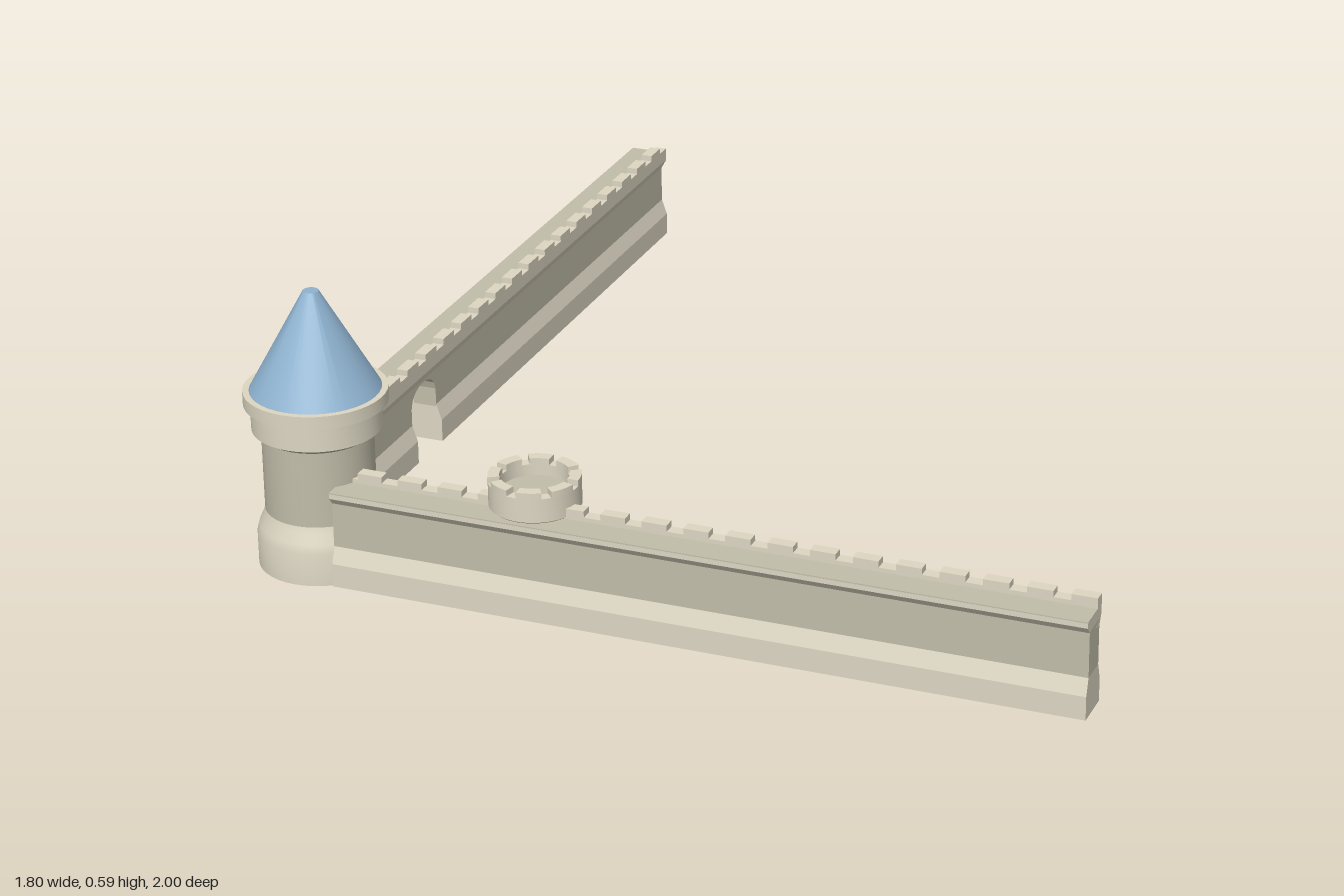
import * as THREE from 'three';
import { toCreasedNormals } from 'three/addons/utils/BufferGeometryUtils.js';

const trim = new THREE.MeshStandardMaterial({ color: 0xdcd6c2 });
const stone = new THREE.MeshStandardMaterial({ color: 0xc2bdaa });
const slate = new THREE.MeshStandardMaterial({ color: 0x8fb3d0 });

const WIDTH = 0.085, INSET = 0.012, SPRING = 0.122;

// Wall cross-sections: x runs from the walkway side to the parapet side
const PLINTH = [[0, 0], [WIDTH, 0], [WIDTH, 0.05], [WIDTH - INSET, 0.085], [INSET, 0.085], [0, 0.05]];
const BODY = [[INSET, 0.08], [WIDTH - INSET, 0.08], [WIDTH - INSET, 0.182], [INSET, 0.182]];
const LINTEL = [[INSET, SPRING], [WIDTH - INSET, SPRING], [WIDTH - INSET, 0.182], [INSET, 0.182]];
const CAP = [[INSET, 0.18], [WIDTH - INSET, 0.166], [WIDTH, 0.188], [WIDTH, 0.217],
  [0.06, 0.217], [0.06, 0.206], [0, 0.206], [0, 0.195]];
const WALK = [[0, 0.205], [0.06, 0.205], [0.06, 0.208], [0, 0.208]];

function add(parent, name, geometry, material) {
  const mesh = new THREE.Mesh(geometry, material);
  mesh.name = name;
  parent.add(mesh);
  return mesh;
}

// Extrudes a cross-section along local z
function prism(points, from, to, steps = 1) {
  const shape = new THREE.Shape(points.map(p => new THREE.Vector2(...p)));
  const g = new THREE.ExtrudeGeometry(shape, { depth: to - from, steps, bevelEnabled: false });
  return g.translate(0, 0, from);
}

function lathe(points, segments = 40) {
  const g = new THREE.LatheGeometry(points.map(p => new THREE.Vector2(...p)), segments);
  return toCreasedNormals(g, 0.5);
}

// Straight wall along z with an optional arched gate [start, end]
function makeWall(name, from, to, gate) {
  const wall = new THREE.Group();
  wall.name = name;
  const stretches = gate ? [[from, gate[0]], [gate[1], to]] : [[from, to]];
  for (const [a, b] of stretches) {
    add(wall, 'wallPlinth', prism(PLINTH, a, b), trim);
    add(wall, 'wallBody', prism(BODY, a, b), stone);
  }
  add(wall, 'wallCap', prism(CAP, from, to), trim);
  add(wall, 'walkway', prism(WALK, from, to), stone);

  // Merlons along the parapet
  const count = Math.round((to - from) / 0.088), pitch = (to - from) / count;
  for (let i = 0; i < count; i++) {
    const m = add(wall, 'merlon', new THREE.BoxGeometry(0.025, 0.016, pitch * 0.6), trim);
    m.position.set(0.0725, 0.222, to - pitch * (i + 0.3));
  }

  if (gate) {
    // Lintel whose underside is bent into the arch
    const mid = (gate[0] + gate[1]) / 2, half = (gate[1] - gate[0]) / 2;
    const g = prism(LINTEL, gate[0], gate[1], 20), p = g.attributes.position;
    for (let i = 0; i < p.count; i++) {
      if (p.getY(i) > SPRING + 0.001) continue;
      const t = (p.getZ(i) - mid) / half;
      p.setY(i, SPRING + 0.039 * Math.sqrt(Math.max(0, 1 - t * t)));
    }
    g.computeVertexNormals();
    add(wall, 'gateArch', g, stone);

    // Splayed feet beside the gate
    const foot = [[-0.027, 0], [0.02, 0], [0.02, 0.1]];
    for (const z of [gate[0] - 0.01, gate[1]]) add(wall, 'gateFoot', prism(foot, z, z + 0.01), trim);
  }
  return wall;
}

// Corner tower with a conical roof
function makeTower() {
  const tower = new THREE.Group();
  tower.name = 'cornerTower';
  add(tower, 'towerBase', lathe([[0, 0], [0.131, 0], [0.131, 0.07], [0.126, 0.088], [0.117, 0.108], [0.113, 0.122], [0, 0.122]]), trim);
  add(tower, 'towerShaft', lathe([[0.113, 0.12], [0.113, 0.285], [0.131, 0.297]]), stone);
  add(tower, 'towerBand', lathe([[0.11, 0.295], [0.132, 0.297], [0.132, 0.348], [0.12, 0.35]]), trim);
  add(tower, 'towerRing', lathe([[0.12, 0.348], [0.146, 0.352], [0.146, 0.38], [0, 0.38]]), trim);
  add(tower, 'towerRoof', lathe([[0, 0.38], [0.133, 0.38], [0.016, 0.59], [0, 0.59]]), slate);
  return tower;
}

// Small open-topped turret with a crenellated crown
function makeTurret() {
  const turret = new THREE.Group();
  turret.name = 'turret';
  add(turret, 'turretBase', lathe([[0, 0], [0.089, 0], [0.089, 0.05], [0.078, 0.085], [0, 0.085]]), trim);
  add(turret, 'turretShaft', lathe([[0.078, 0.08], [0.078, 0.198], [0.09, 0.21]]), stone);
  add(turret, 'turretCrown', lathe([[0.078, 0.205], [0.093, 0.212], [0.093, 0.262], [0.07, 0.262], [0.07, 0.235]]), trim);
  add(turret, 'turretFloor', lathe([[0.072, 0.238], [0, 0.238]]), stone);

  const n = 8, span = (Math.PI * 2 / n) * 0.72;
  const shape = new THREE.Shape();
  shape.absarc(0, 0, 0.093, 0, span, false);
  shape.absarc(0, 0, 0.07, span, 0, true);
  const g = new THREE.ExtrudeGeometry(shape, { depth: 0.014, bevelEnabled: false, curveSegments: 6 });
  g.rotateX(-Math.PI / 2);
  for (let i = 0; i < n; i++) {
    const m = add(turret, 'turretMerlon', g, trim);
    m.position.y = 0.261;
    m.rotation.y = i * Math.PI * 2 / n;
  }
  return turret;
}

export function createModel() {
  const model = new THREE.Group();
  model.name = 'castleWalls';

  const sideWall = makeWall('sideWall', -1, 0.77, [0.262, 0.38]);
  sideWall.position.x = -0.855;

  const frontWall = makeWall('frontWall', -0.68, 0.9);
  frontWall.rotation.y = Math.PI / 2;
  frontWall.position.z = 0.965;

  const tower = makeTower();
  tower.position.set(-0.757, 0, 0.853);

  const turret = makeTurret();
  turret.position.set(-0.275, 0, 0.865);

  model.add(sideWall, frontWall, tower, turret);
  return model;
}
